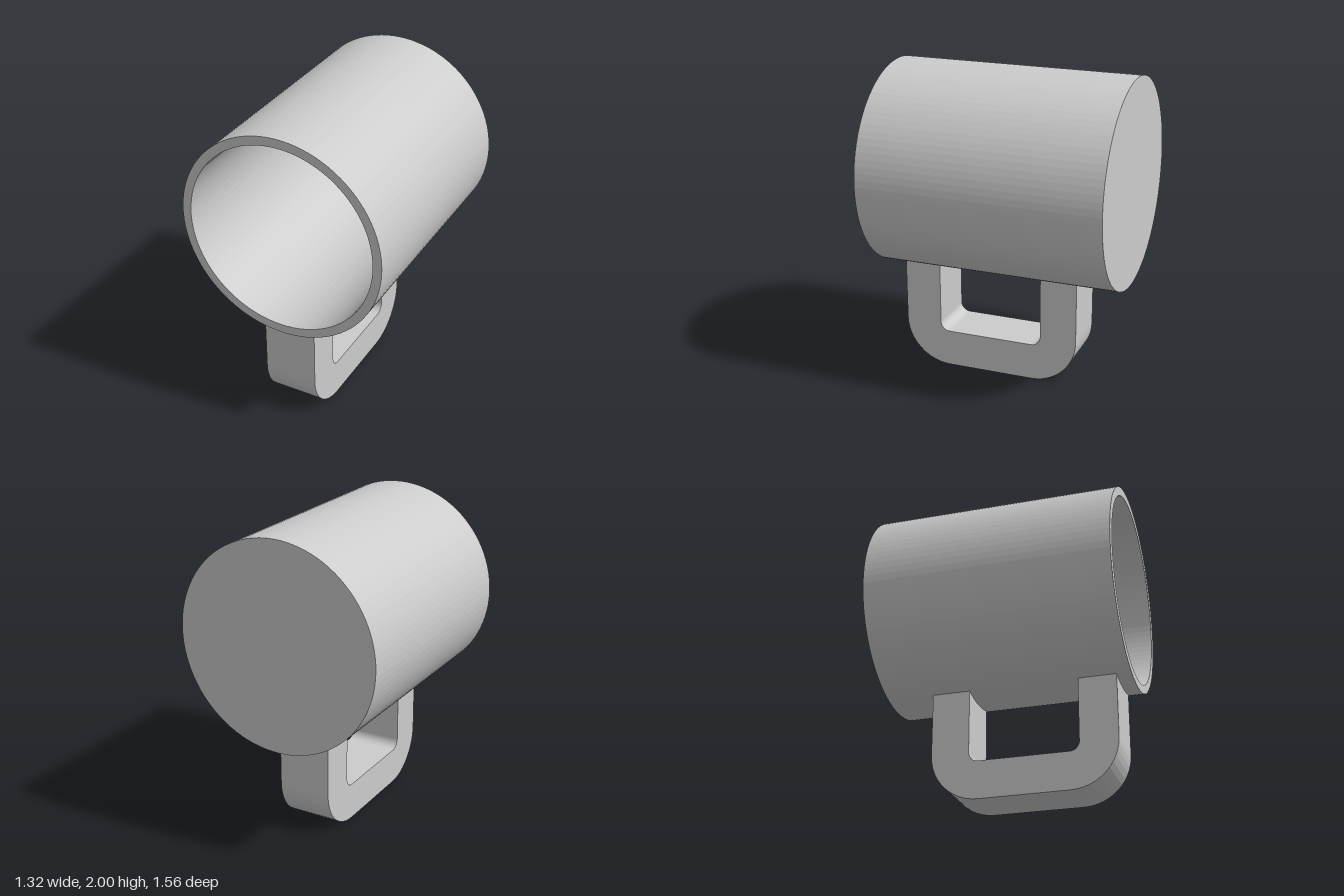
import * as THREE from 'three';

const grey = new THREE.MeshStandardMaterial({ color: 0xcccccc });
grey.name = 'plain grey';

// Mug body: lathed wall and floor, laid on its side with the mouth facing +z
function createBody() {
  const outer = 0.66, inner = 0.603, half = 0.78, floor = -0.72;
  const profile = [
    [0, -half], [outer, -half], [outer, half],
    [inner, half], [inner, floor], [0, floor],
  ].map(([r, y]) => new THREE.Vector2(r, y));
  const geometry = new THREE.LatheGeometry(profile, 96).toNonIndexed();
  geometry.computeVertexNormals(); // faceted sides and crisp rims
  geometry.rotateX(Math.PI / 2);
  const body = new THREE.Mesh(geometry, grey);
  body.name = 'mugBody';
  body.position.y = 1.34;
  return body;
}

// Handle: U outline with rounded corners, extruded across x
function createHandle() {
  const width = 0.344, top = 0.72; // the ends sink into the mug wall
  const front = 0.69, back = -0.48, bar = 0.24, R = 0.3, r = 0.06;
  const s = new THREE.Shape();
  // shape x stands for -z
  const x0 = -front, x1 = -back;
  s.moveTo(x0, top);
  s.lineTo(x0, R);
  s.absarc(x0 + R, R, R, Math.PI, Math.PI * 1.5, false);
  s.lineTo(x1 - R, 0);
  s.absarc(x1 - R, R, R, -Math.PI / 2, 0, false);
  s.lineTo(x1, top);
  s.lineTo(x1 - bar, top);
  s.lineTo(x1 - bar, bar + r);
  s.absarc(x1 - bar - r, bar + r, r, 0, -Math.PI / 2, true);
  s.lineTo(x0 + bar + r, bar);
  s.absarc(x0 + bar + r, bar + r, r, -Math.PI / 2, -Math.PI, true);
  s.lineTo(x0 + bar, top);
  s.closePath();
  const geometry = new THREE.ExtrudeGeometry(s, {
    depth: width, bevelEnabled: false, curveSegments: 6,
  });
  geometry.translate(0, 0, -width / 2);
  geometry.rotateY(Math.PI / 2);
  const handle = new THREE.Mesh(geometry, grey);
  handle.name = 'handle';
  return handle;
}

export function createModel() {
  const model = new THREE.Group();
  model.name = 'mug';
  model.add(createBody(), createHandle());
  return model;
}
